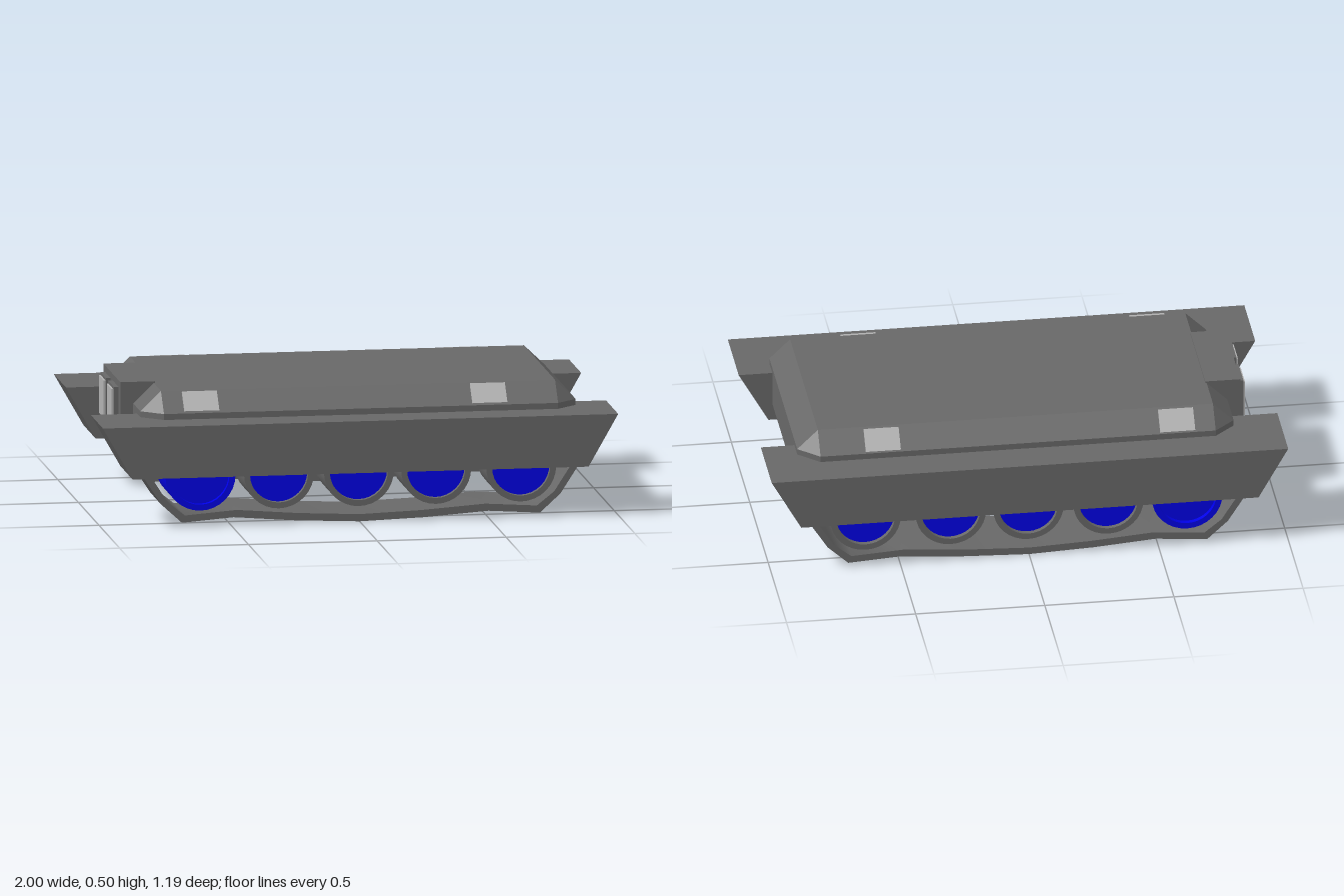
import * as THREE from 'three';
import { toCreasedNormals } from 'three/addons/utils/BufferGeometryUtils.js';
import { ConvexGeometry } from 'three/addons/geometries/ConvexGeometry.js';

const material = (name, color) => {
  const m = new THREE.MeshStandardMaterial({ color });
  m.name = name;
  return m;
};

// Side profile in x,y pushed out from z0 to z1
function slab(points, z0, z1) {
  const shape = new THREE.Shape(points.map(([x, y]) => new THREE.Vector2(x, y)));
  const geo = new THREE.ExtrudeGeometry(shape, { depth: z1 - z0, bevelEnabled: false });
  return geo.translate(0, 0, z0);
}

export function createModel() {
  const model = new THREE.Group();
  model.name = 'trackedVehicle';
  const grey = material('hull grey', 0x686868);
  const blue = material('wheel blue', 0x0000f4);
  const pale = material('lamp grey', 0xb2b2b2);

  const add = (name, geo, mat, parent = model) => {
    const mesh = new THREE.Mesh(geo, mat);
    mesh.name = name;
    parent.add(mesh);
    return mesh;
  };
  const box = (x0, x1, y0, y1, z0, z1) =>
    new THREE.BoxGeometry(x1 - x0, y1 - y0, z1 - z0)
      .translate((x0 + x1) / 2, (y0 + y1) / 2, (z0 + z1) / 2);

  // Lower hull between the tracks, with sloping ends
  add('lowerHull', slab([
    [-0.72, 0.19], [0.75, 0.19], [0.87, 0.265], [0.87, 0.41], [-0.82, 0.41], [-0.82, 0.265],
  ], -0.302, 0.302), grey);

  // Bevelled deck: an eight-sided skirt closing to a rectangular top
  const corners = [];
  for (const s of [-1, 1]) {
    for (const [xEnd, xTop] of [[-0.82, -0.74], [0.87, 0.79]]) {
      for (const y of [0.39, 0.42]) {
        corners.push(new THREE.Vector3(xEnd, y, s * 0.377));
        corners.push(new THREE.Vector3(xTop, y, s * 0.452));
      }
      corners.push(new THREE.Vector3(xTop, 0.497, s * 0.377));
    }
  }
  add('deck', new ConvexGeometry(corners), grey);

  // End box with its two lamps
  add('endBox', box(-0.87, -0.735, 0.26, 0.504, -0.205, 0.205), grey);
  for (const z of [-0.1, 0.09]) {
    add('endLampFrame', box(-0.888, -0.865, 0.31, 0.478, z - 0.068, z + 0.068), grey);
    add('endLamp', box(-0.895, -0.887, 0.322, 0.468, z - 0.058, z + 0.058), pale);
  }

  // Track: outer line, then the same line raised to give the band thickness
  const run = [
    [-0.86, 0.23], [-0.77, 0.09], [-0.69, 0.017], [-0.49, 0.033], [-0.25, 0.014], [0, 0.003],
    [0.25, 0.012], [0.5, 0.03], [0.7, 0.017], [0.78, 0.09], [0.87, 0.23],
  ];
  const inner = run.map(([x, y], i) => {
    const end = i < 2 || i > run.length - 3;
    return [x - (end ? Math.sign(x) * 0.025 : Math.sign(x) * 0.012), y + (end ? 0.008 : 0.028)];
  });
  const trackLine = [...run, ...inner.reverse()];

  // Wheel profile: a drum with a recessed outer face
  const rim = [[0, 0.31], [0.136, 0.31], [0.136, 0.555], [0.113, 0.555], [0.113, 0.53], [0, 0.53]]
    .map(([r, h]) => new THREE.Vector2(r, h));
  const wheelXs = [-0.615, -0.31, 0, 0.3, 0.63];

  for (const s of [-1, 1]) {
    const side = new THREE.Group();
    side.name = s > 0 ? 'frontRunningGear' : 'backRunningGear';
    model.add(side);
    const span = (a, b) => (s > 0 ? [a, b] : [-b, -a]);

    add('fender', slab([[-0.885, 0.195], [0.885, 0.195], [1, 0.397], [-1, 0.397]],
      ...span(0.3, 0.597)), grey, side);
    add('track', toCreasedNormals(slab(trackLine, ...span(0.302, 0.573)), 0.9), grey, side);

    // Road wheels; the end one is solid blue
    wheelXs.forEach((x, i) => {
      const geo = toCreasedNormals(new THREE.LatheGeometry(rim, 32), 0.6);
      geo.rotateX(s * Math.PI / 2);
      add('wheel', geo, i === 0 ? blue : grey, side).position.set(x, 0.195, 0);
      const hub = new THREE.CylinderGeometry(0.112, 0.112, 0.008, 32);
      hub.rotateX(s * Math.PI / 2);
      add('wheelHub', hub, blue, side).position.set(x, 0.195, s * 0.533);
    });

    // Lamp plates on the deck bevel
    for (const x of s > 0 ? [-0.593, 0.525] : [-0.593, 0.547]) {
      const plate = add('lampPlate', new THREE.BoxGeometry(0.135, 0.016, 0.092), pale, side);
      plate.position.set(x, 0.457, s * 0.418);
      plate.rotation.x = s * 0.8;
    }
  }
  return model;
}
